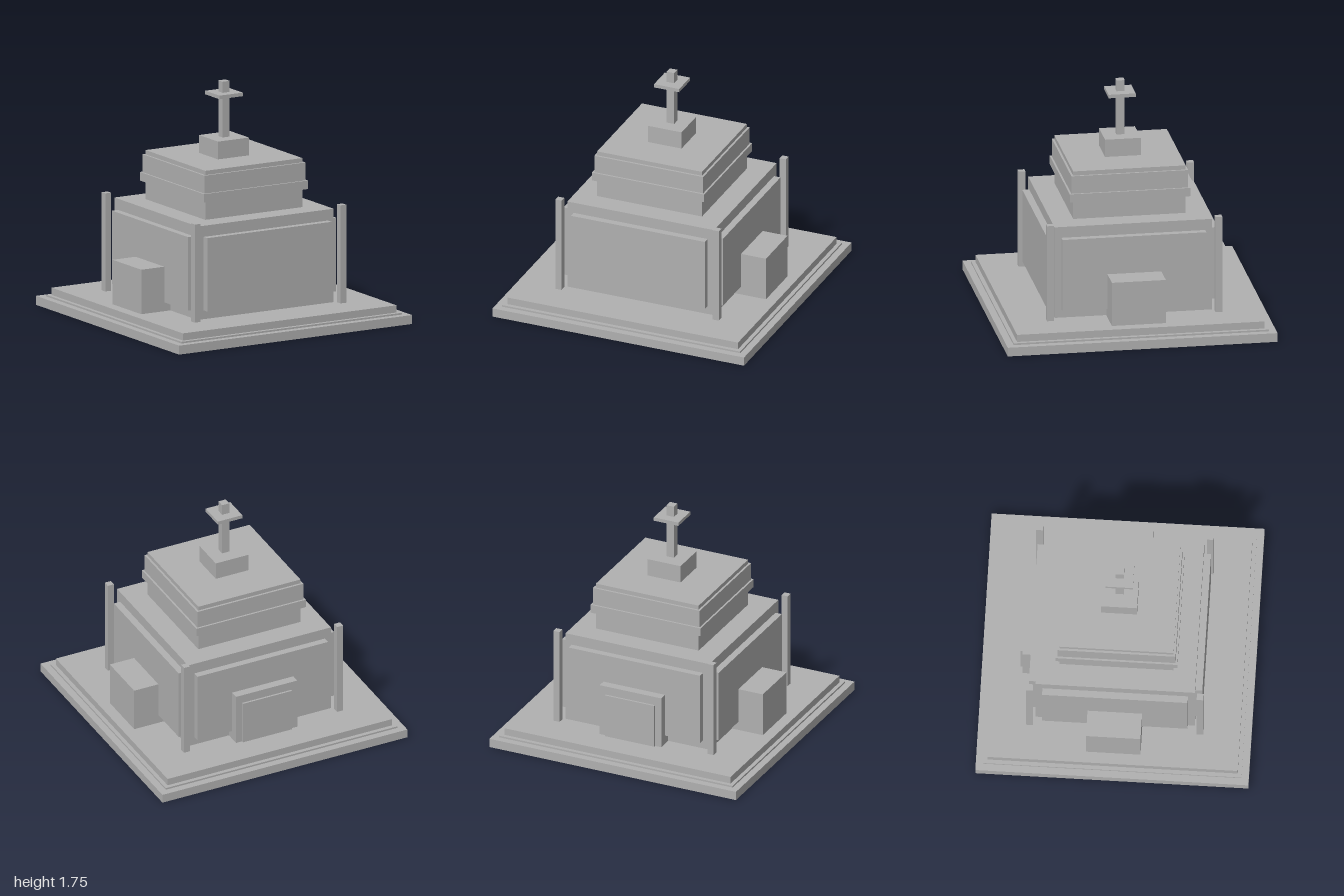
import * as THREE from 'three';

export function createModel() {
  const model = new THREE.Group();
  model.name = 'shrine';
  const stone = new THREE.MeshStandardMaterial({ color: 0xb0b0b0 });
  stone.name = 'grey stone';

  // Box given by its limits along each axis
  const block = (name, [x0, x1], [y0, y1], [z0, z1]) => {
    const mesh = new THREE.Mesh(new THREE.BoxGeometry(x1 - x0, y1 - y0, z1 - z0), stone);
    mesh.name = name;
    mesh.position.set((x0 + x1) / 2, (y0 + y1) / 2, (z0 + z1) / 2);
    model.add(mesh);
  };

  // Centred square tiers, bottom to top: name, half width, bottom, top
  const tiers = [
    ['baseSlab', 1, 0, 0.067],
    ['baseStep', 0.947, 0.067, 0.08],
    ['platform', 0.917, 0.08, 0.134],
    ['mainBody', 0.583, 0.134, 0.833],
    ['upperBody', 0.417, 0.833, 0.97],
    ['lowerCornice', 0.447, 0.97, 1.034],
    ['parapet', 0.433, 1.034, 1.168],
    ['roofCap', 0.417, 1.168, 1.2],
    ['finialBase', 0.133, 1.2, 1.333],
    ['finialPost', 0.03, 1.333, 1.75],
    ['finialPlate', 0.1, 1.64, 1.667],
  ];
  for (const [name, r, y0, y1] of tiers) block(name, [-r, r], [y0, y1], [-r, r]);

  for (const s of [-1, 1]) {
    const span = (a, b) => (s > 0 ? [a, b] : [-b, -a]);
    // Raised wall panels and side annexes
    block('wallPanel', [-0.533, 0.533], [0.2, 0.75], span(0.583, 0.635));
    block('sidePanel', span(0.583, 0.635), [0.2, 0.75], [-0.533, 0.533]);
    block('sideAnnex', span(0.583, 0.833), [0.134, 0.467], [-0.2, 0.2]);
    // Free-standing corner posts
    for (const z of [[-0.65, -0.6], [0.6, 0.65]]) {
      block('cornerPost', span(0.6, 0.65), [0.134, 0.868], z);
    }
  }

  // Rear doorway
  block('doorFrame', [-0.25, 0.25], [0.134, 0.533], [-0.7, -0.583]);
  block('door', [-0.2, 0.2], [0.134, 0.467], [-0.715, -0.7]);

  return model;
}
